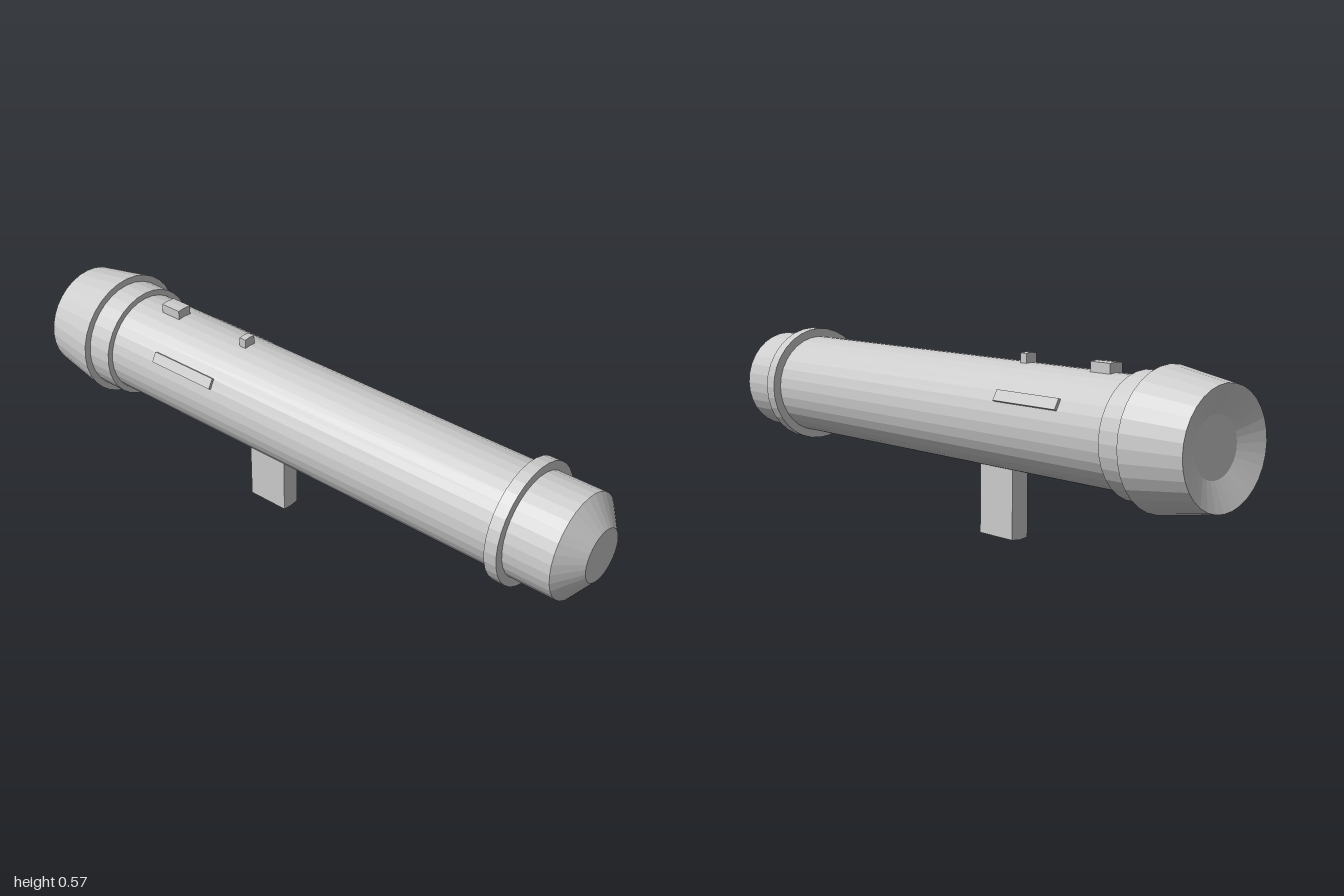
import * as THREE from 'three';

const AXIS_Y = 0.372;
const SIDES = 32;

export function createModel() {
  const group = new THREE.Group();
  const material = new THREE.MeshStandardMaterial({ color: 0xcccccc, flatShading: true });

  const add = (name, geometry, parent = group) => {
    const mesh = new THREE.Mesh(geometry, material);
    mesh.name = name;
    parent.add(mesh);
    return mesh;
  };

  // Round part along z: profile of [radius, z], running from back to front
  const turned = (name, profile) => {
    const points = profile.map(([r, z]) => new THREE.Vector2(r, z));
    const geometry = new THREE.LatheGeometry(points, SIDES).rotateX(Math.PI / 2);
    add(name, geometry).position.y = AXIS_Y;
  };

  // Block with one slightly ridged end, extruded along z
  const ridgedBlock = (name, halfWidth, baseY, edgeY, ridgeY, zBack, zFront) => {
    const shape = new THREE.Shape([
      [-halfWidth, baseY], [halfWidth, baseY], [halfWidth, edgeY], [0, ridgeY], [-halfWidth, edgeY],
    ].map(([x, y]) => new THREE.Vector2(x, y)));
    const geometry = new THREE.ExtrudeGeometry(shape, { depth: zFront - zBack, bevelEnabled: false });
    add(name, geometry.translate(0, 0, zBack));
  };

  // Tube with bevelled nose
  turned('barrel', [[0, -0.8], [0.161, -0.8], [0.161, 0.94], [0.081, 1], [0, 1]]);

  // Band near the nose
  turned('frontRing', [[0.161, 0.75], [0.188, 0.75], [0.188, 0.79], [0.161, 0.79]]);

  // Collar and tapered tail with a dished end
  turned('rearCollar', [[0.161, -0.81], [0.18, -0.81], [0.18, -0.725], [0.161, -0.725]]);
  turned('tailCone', [[0, -0.967], [0.087, -0.967], [0.17, -1], [0.202, -0.81], [0, -0.81]]);

  // Sights on top
  ridgedBlock('frontSight', 0.02, 0.5, 0.56, 0.562, -0.29, -0.266);
  ridgedBlock('rearSight', 0.025, 0.5, 0.56, 0.562, -0.62, -0.547);

  // Grip underneath
  ridgedBlock('grip', 0.031, 0.23, 0.003, 0, -0.246, -0.106);

  // Raised strips lying against both upper flanks
  const tilt = THREE.MathUtils.degToRad(28.5);
  for (const [name, angle] of [['leftStrip', tilt], ['rightStrip', Math.PI - tilt]]) {
    const pivot = new THREE.Group();
    pivot.name = name + 'Mount';
    pivot.position.set(0, AXIS_Y, -0.418);
    pivot.rotation.z = angle;
    group.add(pivot);
    add(name, new THREE.BoxGeometry(0.03, 0.034, 0.246), pivot).position.x = 0.154;
  }

  return group;
}
